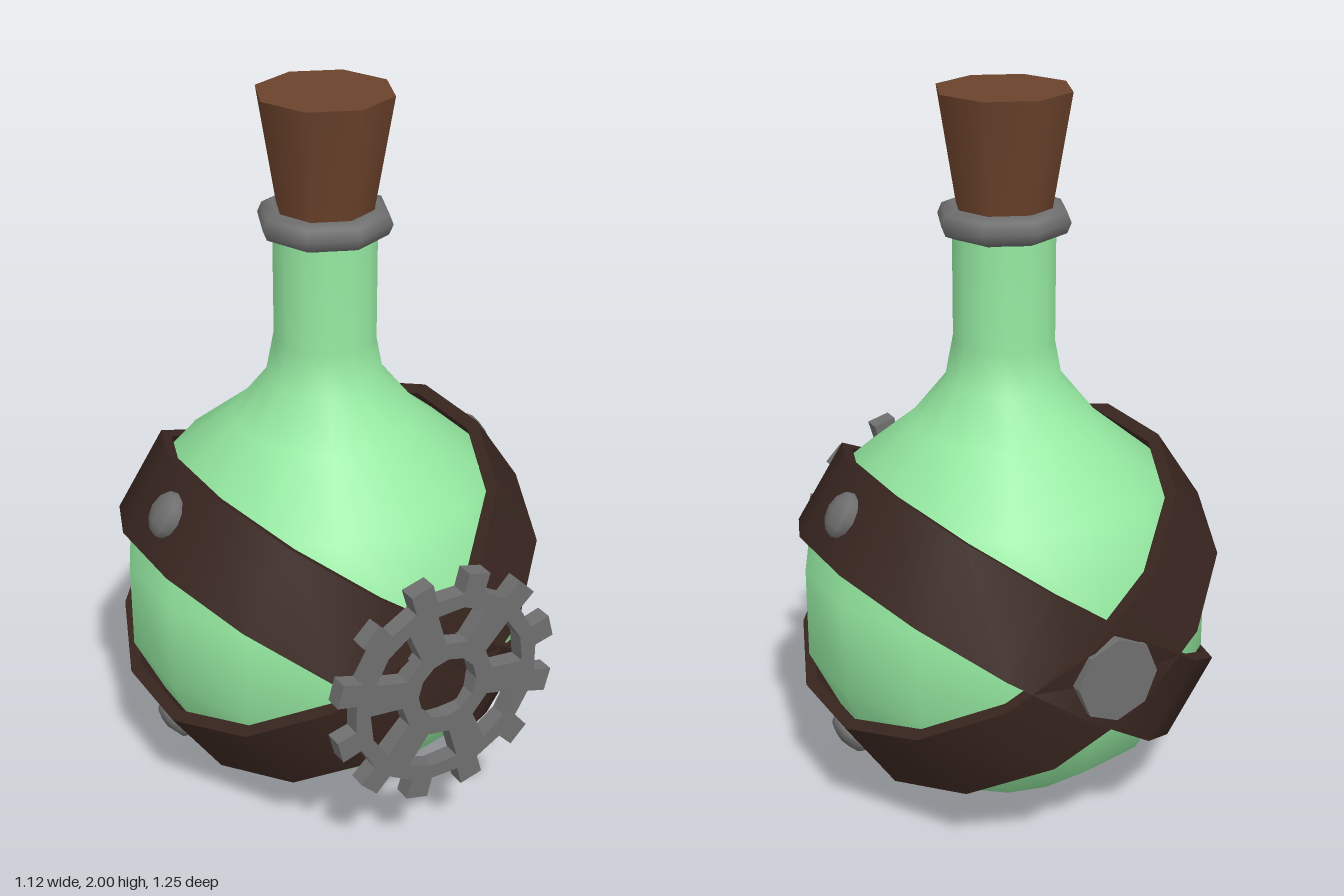
import * as THREE from 'three';
import { toCreasedNormals } from 'three/addons/utils/BufferGeometryUtils.js';

const material = (color) => new THREE.MeshStandardMaterial({ color });
const CENTER_Y = 0.58;
const BAND_R = 0.605;
const BAND_TILT = 0.6;
const SIDES = 14;

// Gear outline with square teeth, a round hub hole and windows between spokes
function gearShape() {
  const shape = new THREE.Shape();
  const teeth = 12;
  for (let i = 0; i < teeth; i++) {
    const a = ((i + 0.5) / teeth) * Math.PI * 2;
    [[0.28, -0.115], [0.337, -0.1], [0.337, 0.1], [0.28, 0.115]].forEach(([r, d], k) => {
      const x = r * Math.cos(a + d), y = r * Math.sin(a + d);
      if (i === 0 && k === 0) shape.moveTo(x, y);
      else shape.lineTo(x, y);
    });
  }
  shape.closePath();
  shape.holes.push(new THREE.Path().absarc(0, 0, 0.09, 0, Math.PI * 2, true));
  for (let i = 0; i < 6; i++) {
    const a = (80 + i * 60) * Math.PI / 180;
    const corners = [[0.14, -0.24], [0.235, -0.33], [0.24, 0], [0.235, 0.33], [0.14, 0.24]];
    shape.holes.push(new THREE.Path(corners.map(([r, d]) =>
      new THREE.Vector2(r * Math.cos(a + d), r * Math.sin(a + d)))));
  }
  return shape;
}

export function createModel() {
  const model = new THREE.Group();
  const glass = material(0x94e8a0);
  const leather = material(0x38251f);
  const corkBrown = material(0x6b422b);
  const metal = material(0x6e6e6e);

  const add = (name, geometry, mat, x = 0, y = 0, z = 0, parent = model) => {
    const mesh = new THREE.Mesh(geometry, mat);
    mesh.name = name;
    mesh.position.set(x, y, z);
    parent.add(mesh);
    return mesh;
  };

  // Round flask flowing into a straight neck
  const profile = [[0, 0.003], [0.25, 0.06], [0.451, 0.22], [0.5625, 0.452], [0.5625, 0.708],
    [0.451, 0.94], [0.256, 1.1], [0.16, 1.22], [0.139, 1.33], [0.139, 1.67]]
    .map(([r, y]) => new THREE.Vector2(r, y));
  const flask = add('flask', new THREE.LatheGeometry(profile, SIDES), glass, 0, 0, -0.01);
  flask.material.side = THREE.DoubleSide;

  // Lip ring and tapered cork
  const lip = add('lipRing', new THREE.TorusGeometry(0.143, 0.04, 8, 8), metal, 0, 1.66, -0.01);
  lip.rotation.x = Math.PI / 2;
  add('cork', toCreasedNormals(new THREE.CylinderGeometry(0.183, 0.116, 0.4, 8), 0.9),
    corkBrown, 0, 1.8, -0.01);

  // Two crossed leather bands, each with a rivet at both sides
  const section = [[0.57, -0.126], [BAND_R, -0.126], [BAND_R, 0.126], [0.57, 0.126], [0.57, -0.126]]
    .map(([r, y]) => new THREE.Vector2(r, y));
  const bandGeometry = toCreasedNormals(new THREE.LatheGeometry(section, SIDES), 0.6);
  const rivetGeometry = new THREE.SphereGeometry(0.066, 8, 6);
  for (const s of [1, -1]) {
    const strap = new THREE.Group();
    strap.name = s > 0 ? 'strapRisingLeft' : 'strapRisingRight';
    strap.position.set(0, CENTER_Y, -0.011);
    strap.rotation.z = s * BAND_TILT;
    model.add(strap);
    add('band', bandGeometry, leather, 0, 0, 0, strap);
    for (const side of [1, -1]) {
      const rivet = add('rivet', rivetGeometry, metal, side * 0.59, 0, 0, strap);
      rivet.scale.x = 0.5;
    }
  }

  // Front gear and back bolt where the bands cross
  const gear = new THREE.ExtrudeGeometry(gearShape(), { depth: 0.047, bevelEnabled: false, curveSegments: 6 });
  add('gear', gear, metal, 0, 0.57, 0.58);
  const bolt = add('backBolt', toCreasedNormals(new THREE.CylinderGeometry(0.117, 0.117, 0.06, 8), 0.6),
    metal, 0, 0.588, -0.597);
  bolt.rotation.x = Math.PI / 2;

  return model;
}
